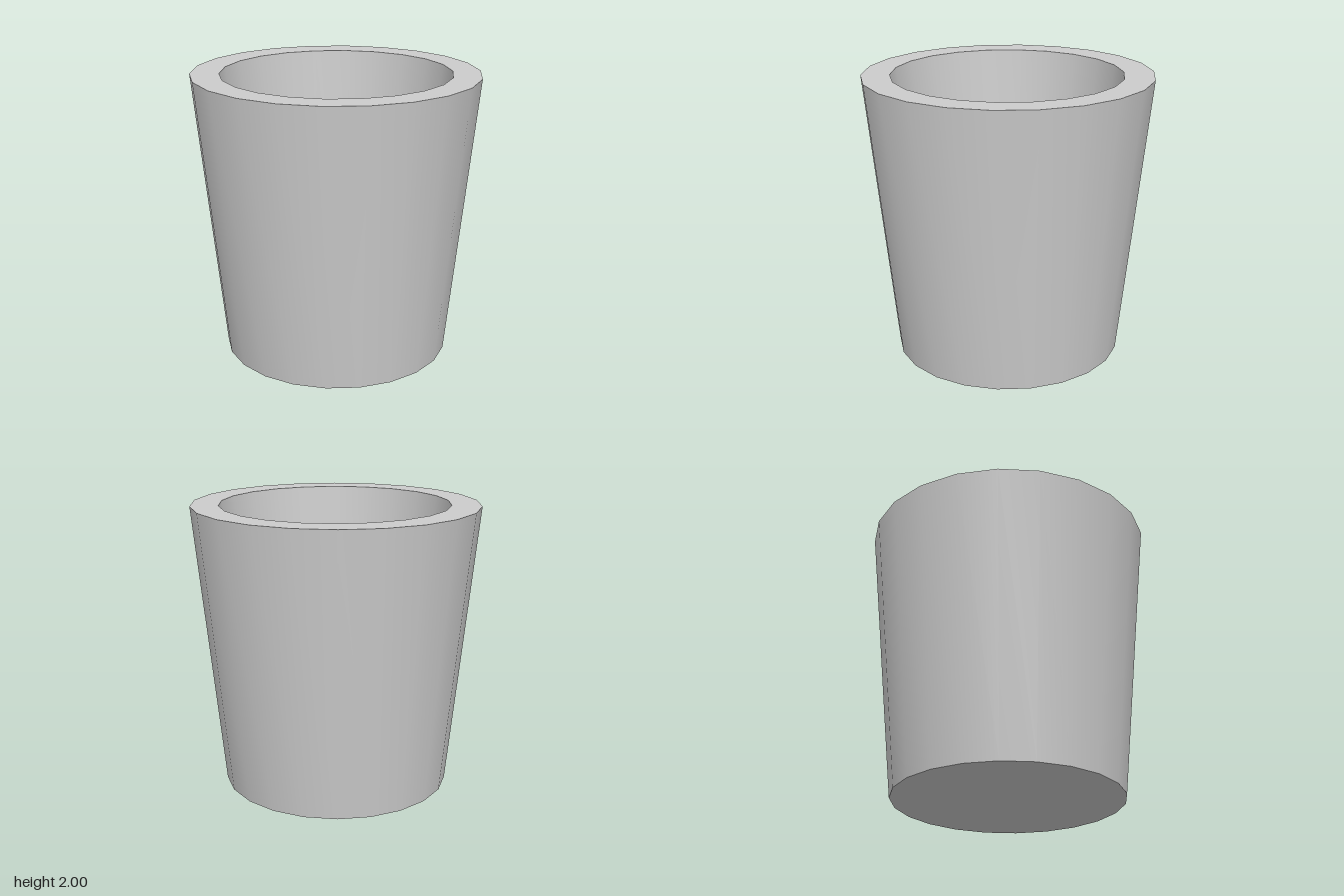
import * as THREE from 'three';
import { toCreasedNormals } from 'three/addons/utils/BufferGeometryUtils.js';

const SIDES = 22;

export function createModel() {
  const group = new THREE.Group();
  group.name = 'taperedPot';

  // Closed profile: base, outer wall, rim, inner wall, inner floor
  const profile = [
    [0, 0], [0.798, 0], [0.997, 2],
    [0.802, 2], [0.617, 0.15], [0, 0.15],
  ].map(([r, y]) => new THREE.Vector2(r, y));
  const geometry = new THREE.LatheGeometry(profile, SIDES);

  // Slightly wider in x outside; the cavity leans a touch to one side
  const stretch = [1, 1.01, 1.011, 1, 1.003, 1];
  const shift = [0, 0, 0, 0.007, -0.007, -0.007];
  const pos = geometry.attributes.position;
  for (let i = 0; i < pos.count; i++) {
    const ring = i % profile.length;
    pos.setX(i, pos.getX(i) * stretch[ring] + shift[ring]);
  }

  // Smooth round walls, sharp rim and base edges
  const pot = new THREE.Mesh(
    toCreasedNormals(geometry, Math.PI / 6),
    new THREE.MeshStandardMaterial({ color: 0xcccccc })
  );
  pot.name = 'pot';
  group.add(pot);
  return group;
}
